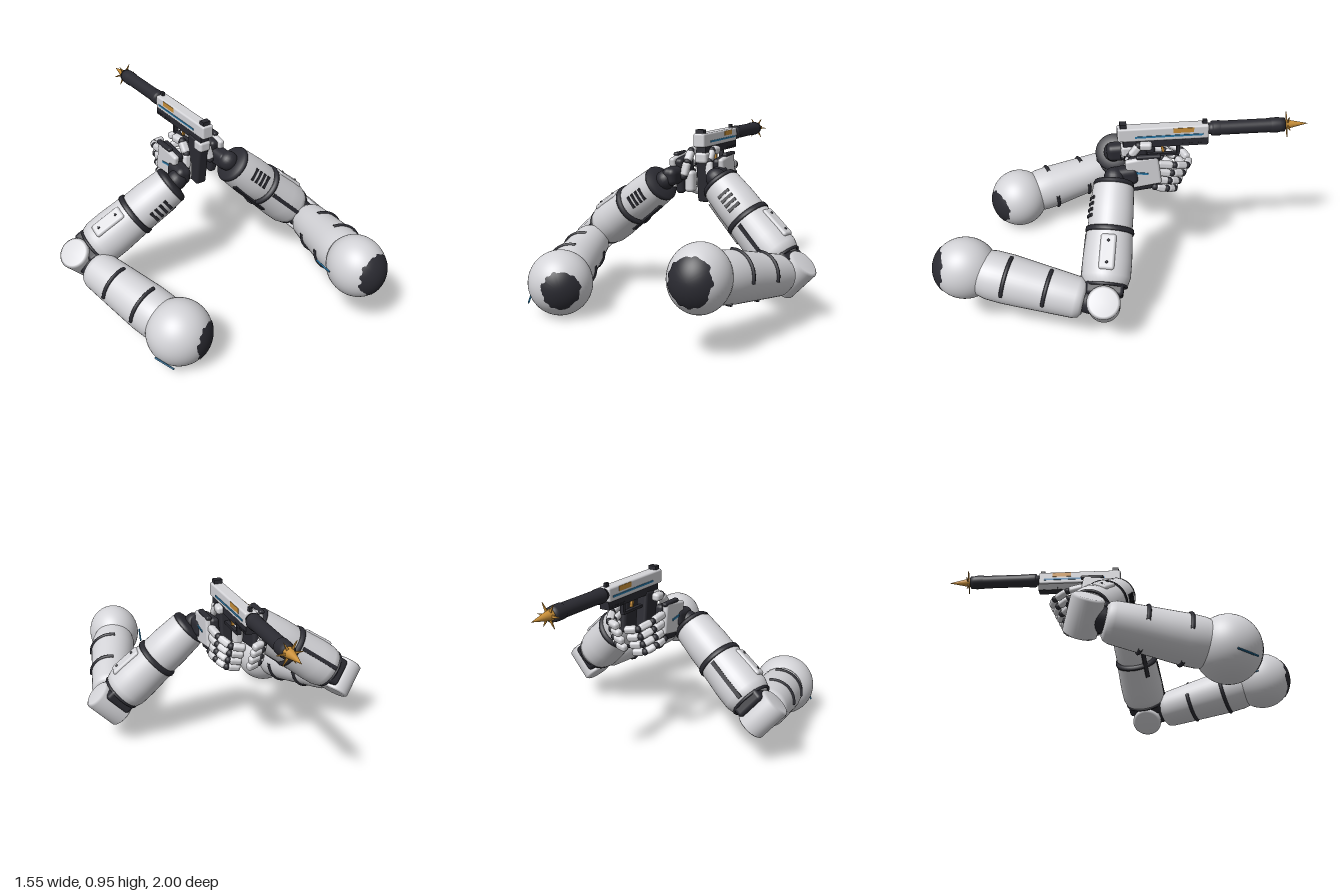
import * as THREE from 'three';
import { RoundedBoxGeometry } from 'three/addons/geometries/RoundedBoxGeometry.js';

const mat = (name, color) => Object.assign(new THREE.MeshStandardMaterial({ color }), { name });
const shell = mat('shell white', 0xd4d4d8);
const dark = mat('dark joint', 0x2b2b32);
const gold = mat('gold', 0xc98f38);
const blue = mat('blue accent', 0x2c7cac);
dark.side = shell.side = THREE.DoubleSide;

const V = (x, y, z) => new THREE.Vector3(x, y, z);

function add(parent, name, geo, material, pos = [0, 0, 0], rot = [0, 0, 0]) {
  const m = new THREE.Mesh(geo, material);
  m.name = name;
  m.position.set(...pos);
  m.rotation.set(...rot);
  parent.add(m);
  return m;
}
const box = (x, y, z) => new THREE.BoxGeometry(x, y, z);
const round = (x, y, z, r) => new RoundedBoxGeometry(x, y, z, 3, r);
const lathe = (pts) => new THREE.LatheGeometry(pts.map(([r, y]) => new THREE.Vector2(r, y)), 40);

// rounded bar from a to b
function bar(parent, name, material, a, b, w, d = w) {
  const len = a.distanceTo(b);
  const m = add(parent, name, round(w, len, d, Math.min(w, d, len) * 0.38), material);
  m.position.copy(a).lerp(b, 0.5);
  m.quaternion.setFromUnitVectors(V(0, 1, 0), b.clone().sub(a).normalize());
  return m;
}

// group at origin with y along the limb and z along the elbow hinge
function frame(parent, name, origin, dir, hinge) {
  const y = dir.clone().normalize();
  const z = hinge.clone().addScaledVector(y, -hinge.dot(y)).normalize();
  const g = new THREE.Group();
  g.name = name;
  g.position.copy(origin);
  g.quaternion.setFromRotationMatrix(new THREE.Matrix4().makeBasis(y.clone().cross(z), y, z));
  parent.add(g);
  return g;
}

// ragged dark cap lying on the unit shoulder ball
function raggedCap(angle, dir) {
  const g = new THREE.SphereGeometry(1, 56, 14, 0, Math.PI * 2, 0, angle);
  const p = g.attributes.position;
  for (let i = 0; i < p.count; i++) {
    const j = (i % 57) % 56;
    const v = V(p.getX(i), p.getY(i), p.getZ(i));
    const t = Math.acos(THREE.MathUtils.clamp(v.y, -1, 1));
    const n = Math.sin(Math.floor(j / 2) * 12.99) * 43758.5;
    const k = t * (0.9 + 0.17 * (n - Math.floor(n)));
    const phi = Math.atan2(v.z, v.x);
    v.set(Math.sin(k) * Math.cos(phi), Math.cos(k), Math.sin(k) * Math.sin(phi)).multiplyScalar(1.015);
    p.setXYZ(i, v.x, v.y, v.z);
  }
  g.computeVertexNormals();
  return g.applyQuaternion(new THREE.Quaternion().setFromUnitVectors(V(0, 1, 0), dir.normalize()));
}

function buildArm(root, name, a) {
  const arm = new THREE.Group();
  arm.name = name;
  root.add(arm);
  const f = a.wrist.clone().sub(a.elbow), u = a.shoulder.clone().sub(a.elbow);
  const hinge = f.clone().cross(u).normalize();
  if (hinge.y < 0) hinge.negate();

  // shoulder ball with worn cap
  const ball = add(arm, 'shoulderBall', new THREE.SphereGeometry(1, 48, 32), shell);
  ball.position.copy(a.shoulder);
  ball.scale.set(...a.ball);
  add(ball, 'shoulderCap', raggedCap(a.capAngle, a.capDir), dark);
  bar(arm, 'shoulderStripe', blue, a.stripe[0], a.stripe[1], 0.009);

  // upper arm
  const up = frame(arm, 'upperArm', a.elbow, u, hinge), ul = u.length();
  add(up, 'elbowNeck', new THREE.CylinderGeometry(0.065, 0.065, 0.12, 24), dark, [0, 0.06, 0]);
  add(up, 'upperArmShell', lathe([[0, 0.098], [0.075, 0.098], [0.096, 0.112], [0.106, 0.14], [0.113, 0.25],
    [0.122, 0.4], [0.128, 0.5], [0.127, ul - 0.14], [0.115, ul - 0.08]]), shell);
  for (const [y, r] of [[0.29, 0.116], [0.5, 0.128]])
    for (const s of [0, Math.PI]) {
      const band = new THREE.TorusGeometry(r, 0.01, 8, 28, 1.8).rotateZ(Math.PI / 2 - 0.9).rotateX(Math.PI / 2);
      add(up, 'upperArmBand', band.rotateY(s), dark, [0, y, 0]);
    }

  // elbow hinge
  const hub = frame(arm, 'elbow', a.elbow, hinge, f);
  add(hub, 'elbowHub', lathe([[0, -0.1], [0.07, -0.1], [0.084, -0.09], [0.084, 0.09], [0.07, 0.1], [0, 0.1]]), shell);

  // forearm, two shells with ring and cuff
  const fore = frame(arm, 'forearm', a.elbow, f, hinge);
  add(fore, 'elbowYoke', round(0.19, 0.07, 0.16, 0.02), dark, [0, 0.075, 0]);
  add(fore, 'lowerShell', lathe([[0, 0.09], [0.095, 0.09], [0.115, 0.105], [0.125, 0.14], [0.126, 0.22], [0.118, 0.37]]), shell);
  add(fore, 'elbowTrim', new THREE.TorusGeometry(0.107, 0.008, 8, 40).rotateX(Math.PI / 2), dark, [0, 0.094, 0]);
  add(fore, 'midRing', lathe([[0.1, 0.36], [0.123, 0.36], [0.126, 0.368], [0.123, 0.386], [0.1, 0.386]]), dark);
  add(fore, 'upperShell', lathe([[0.105, 0.383], [0.115, 0.395], [0.114, 0.48], [0.106, 0.605], [0.096, 0.618], [0, 0.618]]), shell);
  add(fore, 'wristCuff', lathe([[0.085, 0.61], [0.104, 0.612], [0.106, 0.622], [0.098, 0.636], [0.06, 0.645], [0, 0.648]]), dark);
  add(fore, 'wristKnob', new THREE.SphereGeometry(0.055, 20, 14), dark, [0, 0.66, 0]);
  const pad = add(fore, 'forearmPanel', round(0.078, 0.18, 0.03, 0.014), shell, [0, 0.25, 0.117], [-0.05, 0, 0]);
  for (const y of [-0.055, 0.055]) add(pad, 'panelPin', new THREE.SphereGeometry(0.007, 8, 6), dark, [0, y, 0.015]);
  // vent slots face the front
  const s = a.front;
  for (let i = 0; i < 4; i++) {
    const t = 0.3, r = 0.113 - i * 0.002;
    add(fore, 'ventSlot', box(0.009, 0.016, 0.072), dark,
      [s * r * Math.cos(t), a.slots + i * 0.031, r * Math.sin(t)], [0, -s * t, 0]);
  }
  // edge trims, one on the side and one low at the front
  add(fore, 'sideTrim', box(0.01, 0.24, 0.022), dark, [-0.121, 0.23, 0], [0, 0, -0.02]);
  add(fore, 'lowerTrim', box(0.024, 0.26, 0.012), dark, [s * 0.065, 0.43, -0.098], [0.04, -s * 0.55, 0]);
}

// hand built on the +x side, mirrored about x = 0.035 for the other
function buildHand(root, name, side, dy) {
  const hand = new THREE.Group();
  hand.name = name;
  root.add(hand);
  const P = (x, y, z) => V(0.035 + side * (x - 0.035), y + dy, z);
  const at = (x, y, z) => P(x, y, z).toArray();
  bar(hand, 'wristLink', dark, P(0.175, 0.69, 0.06), P(0.165, 0.7, -0.08), 0.085, 0.1);
  add(hand, 'palm', round(0.05, 0.2, 0.17, 0.02), dark, at(0.15, 0.695, -0.12), [0.12, 0, 0]);
  add(hand, 'palmShell', round(0.034, 0.17, 0.175, 0.014), shell, at(0.181, 0.718, -0.105), [0.15, 0, 0]);
  add(hand, 'palmStripe', box(0.005, 0.011, 0.08), blue, at(0.199, 0.718, -0.09), [-0.15, 0, 0]);
  add(hand, 'knucklePad', round(0.03, 0.022, 0.13, 0.01), dark, at(0.183, 0.806, -0.13));
  // fingers curl round the front of the grip
  for (let i = 0; i < 4; i++) {
    const y = 0.755 - i * 0.047, k = 1 - i * 0.12;
    const pts = [P(0.172, y, -0.17), P(0.163, y - 0.02, -0.17 - 0.1 * k),
      P(0.125, y - 0.048, -0.17 - 0.175 * k), P(0.05, y - 0.058, -0.17 - 0.2 * k)];
    for (let j = 0; j < 3; j++) {
      const q = pts[j].clone().lerp(pts[j + 1], 0.07), e = pts[j].clone().lerp(pts[j + 1], 0.93);
      bar(hand, 'fingerSegment', shell, q, e, 0.04, 0.04);
      add(hand, 'fingerJoint', new THREE.SphereGeometry(0.019, 12, 8), dark, pts[j].toArray());
    }
  }
  // thumb
  const th = [P(0.115, 0.69, -0.03), P(0.1, 0.77, -0.045), P(0.098, 0.825, -0.09), P(0.105, 0.825, -0.16)];
  for (let j = 0; j < 3; j++) {
    bar(hand, 'thumbSegment', shell, th[j], th[j + 1], 0.046, 0.044);
    add(hand, 'thumbJoint', new THREE.SphereGeometry(0.021, 12, 8), dark, th[j].toArray());
  }
  // pale heel pad shows only on the supporting hand
  if (side < 0) add(hand, 'thumbBase', round(0.055, 0.12, 0.07, 0.02), shell, at(0.09, 0.66, -0.07));
}

function buildPistol(root) {
  const gun = new THREE.Group();
  gun.name = 'pistol';
  gun.position.x = 0.067;
  root.add(gun);
  add(gun, 'slide', round(0.066, 0.075, 0.48, 0.01), shell, [0, 0.887, -0.22]);
  add(gun, 'frame', box(0.054, 0.042, 0.45), dark, [0, 0.831, -0.235]);
  for (let i = 0; i < 6; i++) add(gun, 'railTooth', box(0.058, 0.014, 0.014), dark, [0, 0.818, -0.33 - i * 0.024]);
  add(gun, 'tang', round(0.07, 0.06, 0.07, 0.015), shell, [0, 0.79, -0.035]);
  add(gun, 'grip', round(0.066, 0.28, 0.12, 0.015), dark, [0, 0.685, -0.085], [0.12, 0, 0]);
  add(gun, 'rearSight', box(0.045, 0.025, 0.035), dark, [0, 0.933, -0.01]);
  add(gun, 'frontSight', box(0.016, 0.024, 0.024), dark, [0, 0.933, -0.44]);
  for (const s of [-1, 1]) {
    add(gun, 'sideStripe', box(0.004, 0.01, 0.36), blue, [s * 0.034, 0.876, -0.25]);
    add(gun, 'ejectionPort', box(0.008, 0.026, 0.108), gold, [s * 0.031, 0.905, -0.325]);
  }
  // trigger and guard
  add(gun, 'trigger', box(0.014, 0.05, 0.014), gold, [0, 0.79, -0.22], [0.25, 0, 0]);
  add(gun, 'guardFront', box(0.024, 0.07, 0.016), dark, [0, 0.785, -0.305]);
  add(gun, 'guardBottom', box(0.024, 0.014, 0.17), dark, [0, 0.752, -0.225]);
  // suppressor along -z
  const sup = lathe([[0, 0.45], [0.03, 0.45], [0.03, 0.475], [0.038, 0.478], [0.04, 0.485], [0.04, 0.52], [0.037, 0.523],
    [0.037, 0.79], [0.04, 0.793], [0.04, 0.84], [0.037, 0.845], [0.037, 0.868], [0, 0.868]]).rotateX(-Math.PI / 2);
  add(gun, 'suppressor', sup, dark, [0, 0.89, 0]);
  // gold spike and star
  add(gun, 'muzzleSpike', new THREE.ConeGeometry(0.028, 0.132, 20).rotateX(-Math.PI / 2), gold, [0, 0.89, -0.934]);
  const star = new THREE.Shape();
  for (let i = 0; i < 12; i++) {
    const r = i % 2 ? 0.017 : 0.067, t = i * Math.PI / 6;
    star[i ? 'lineTo' : 'moveTo'](r * Math.cos(t), r * Math.sin(t));
  }
  add(gun, 'muzzleStar', new THREE.ExtrudeGeometry(star, { depth: 0.006, bevelEnabled: false }), gold, [0, 0.89, -0.885]);
}

export function createModel() {
  const root = new THREE.Group();
  root.name = 'armsWithPistol';
  buildArm(root, 'rightArm', {
    shoulder: V(-0.475, 0.172, 0.57), elbow: V(-0.66, 0.283, -0.11), wrist: V(-0.13, 0.665, 0.02),
    ball: [0.17, 0.172, 0.168], capDir: V(0.56, -0.02, 0.83), capAngle: 0.62, front: 1, slots: 0.455,
    stripe: [V(-0.637, 0.105, 0.6), V(-0.588, 0.082, 0.7)],
  });
  buildArm(root, 'leftArm', {
    shoulder: V(0.44, 0.367, 0.833), elbow: V(0.65, 0.24, 0.15), wrist: V(0.175, 0.7, 0.045),
    ball: [0.147, 0.163, 0.164], capDir: V(0.06, 0.12, 0.99), capAngle: 0.78, front: -1, slots: 0.44,
    stripe: [V(0.315, 0.35, 0.67), V(0.287, 0.37, 0.8)],
  });
  buildHand(root, 'leftHand', 1, 0);
  buildHand(root, 'rightHand', -1, -0.01);
  buildPistol(root);
  return root;
}
